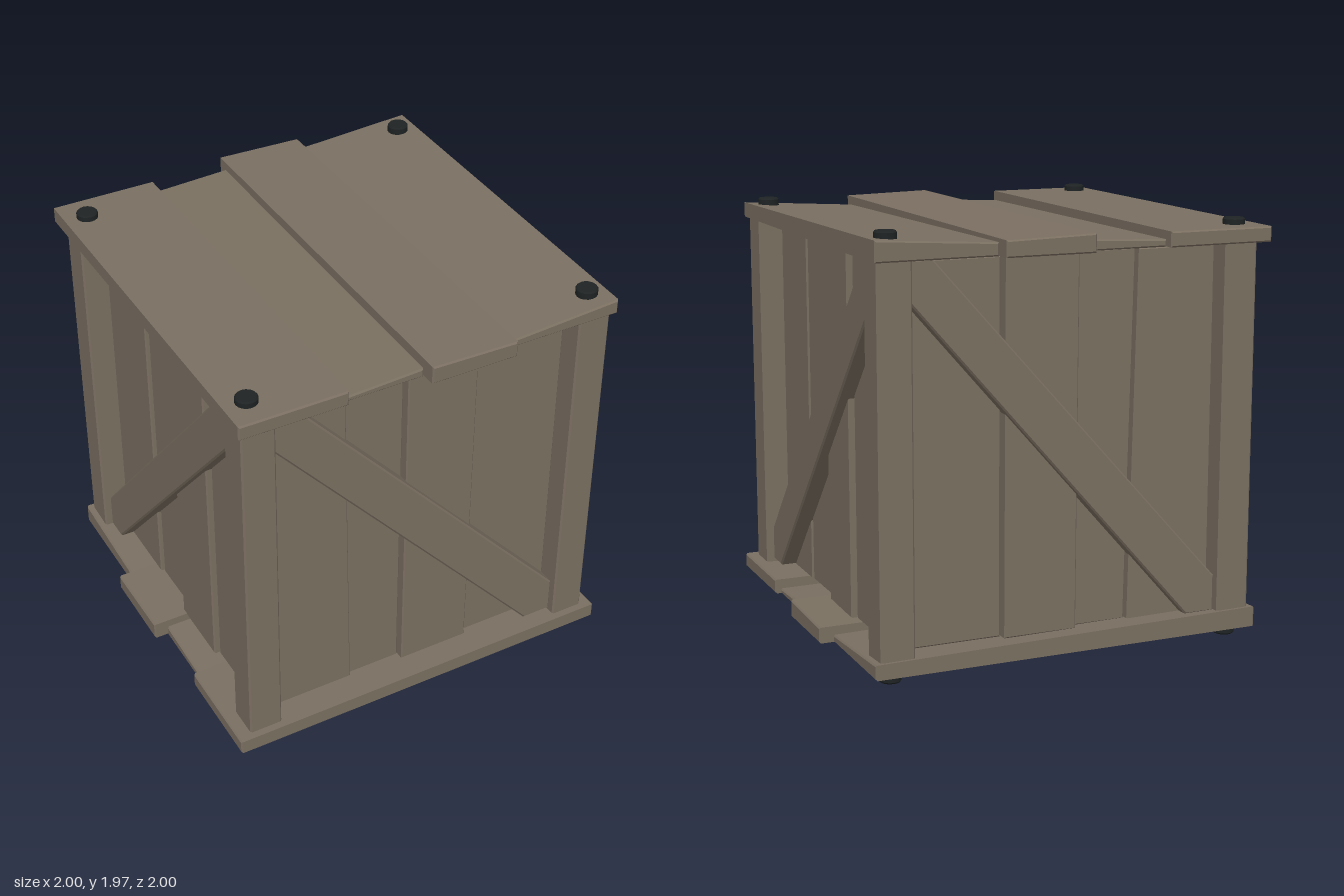
import * as THREE from 'three';
import { toCreasedNormals } from 'three/addons/utils/BufferGeometryUtils.js';

const wood = new THREE.MeshStandardMaterial({ color: 0x7a6f61 });
wood.name = 'weathered wood';
const iron = new THREE.MeshStandardMaterial({ color: 0x1f2324 });
iron.name = 'dark iron';

// Outline in x/y extruded from z0 to z1, with slightly worn edges
function boardGeometry(points, z0, z1, bevel = 0.008) {
  const shape = new THREE.Shape(points.map(([x, y]) => new THREE.Vector2(x, y)));
  return new THREE.ExtrudeGeometry(shape, {
    depth: z1 - z0 - 2 * bevel, bevelEnabled: true, bevelSegments: 1,
    bevelSize: bevel, bevelThickness: bevel, bevelOffset: -bevel,
  }).translate(0, 0, z0 + bevel);
}

function addMesh(parent, name, geometry, material = wood) {
  const mesh = new THREE.Mesh(geometry, material);
  mesh.name = name;
  parent.add(mesh);
  return mesh;
}

// Four uneven planks lying side by side along z
function makePanel(name) {
  const panel = new THREE.Group();
  panel.name = name;
  // left x, right x, back z, front z, left height, right height, rise to the back
  const planks = [
    [-0.94, -0.435, -0.97, 0.96, 0.07, 0.07, 0],
    [-0.43, -0.065, -0.935, 0.935, 0.025, 0.042, 0.008],
    [-0.06, 0.36, -1, 1, 0.085, 0.075, 0],
    [0.365, 0.922, -0.935, 0.935, 0.035, 0.07, 0.025],
  ];
  for (const [x0, x1, z0, z1, h0, h1, rise] of planks) {
    const g = boardGeometry([[x0, 0], [x1, 0], [x1, h1], [x0, h0]], z0, z1, 0.007);
    const p = g.attributes.position;
    for (let i = 0; i < p.count; i++) {
      if (p.getY(i) > 0.015) p.setY(i, p.getY(i) + rise * (z1 - p.getZ(i)) / (z1 - z0));
    }
    g.computeVertexNormals();
    addMesh(panel, name + 'Plank', g);
  }
  return panel;
}

// Pair of facing walls; each plank gives its corners and its depth on both walls
function makeWalls(name, planks, brace) {
  const walls = new THREE.Group();
  walls.name = name;
  for (const [bl, br, tr, tl, near, far] of planks) {
    const outline = [[bl, 0.12], [br, 0.12], [tr, 1.83], [tl, 1.83]];
    addMesh(walls, 'wallPlank', boardGeometry(outline, 0.74, near, 0.006));
    addMesh(walls, 'wallPlank', boardGeometry(outline, -far, -0.74, 0.006));
  }
  for (const turn of [0, Math.PI]) {
    addMesh(walls, 'diagonalBrace', boardGeometry(brace, 0.77, 0.87)).rotation.y = turn;
  }
  return walls;
}

export function createModel() {
  const crate = new THREE.Group();
  crate.name = 'crate';

  // Lid, and a base of the same planks turned a quarter
  const lid = makePanel('lid');
  lid.position.y = 1.847;
  const base = makePanel('base');
  base.position.y = 0.047;
  base.rotation.y = Math.PI / 2;
  crate.add(lid, base);

  // Walls
  const frontBrace = [[-0.745, 1.66], [0.6, 0.13], [0.745, 0.13], [0.745, 0.3], [-0.64, 1.845], [-0.745, 1.845]];
  const sideBrace = [[-0.745, 0.13], [-0.63, 0.13], [0.745, 1.66], [0.745, 1.845], [0.645, 1.845], [-0.745, 0.3]];
  crate.add(makeWalls('frontAndBackWalls', [
    [-0.745, -0.33, -0.365, -0.745, 0.805, 0.805],
    [-0.325, -0.065, -0.07, -0.36, 0.785, 0.78],
    [-0.06, 0.29, 0.285, -0.065, 0.82, 0.825],
    [0.297, 0.745, 0.745, 0.295, 0.79, 0.79],
  ], frontBrace));
  const sides = makeWalls('sideWalls', [
    [-0.745, -0.37, -0.37, -0.745, 0.79, 0.8],
    [-0.364, -0.02, -0.02, -0.364, 0.785, 0.825],
    [-0.012, 0.288, 0.288, -0.012, 0.82, 0.785],
    [0.295, 0.705, 0.705, 0.295, 0.795, 0.8],
  ], sideBrace);
  sides.rotation.y = Math.PI / 2;
  crate.add(sides);

  // Corner posts
  for (const x of [-0.825, 0.825]) {
    for (const z of [-0.825, 0.825]) {
      const outline = [[x - 0.08, 0.08], [x + 0.08, 0.08], [x + 0.08, 1.855], [x - 0.08, 1.855]];
      addMesh(crate, 'cornerPost', boardGeometry(outline, z - 0.08, z + 0.08));
    }
  }

  // Bolt heads above and below each post
  const profile = [[0, 0], [0.042, 0], [0.05, 0.014], [0.05, 0.045], [0.044, 0.052], [0, 0.052]];
  const bolt = toCreasedNormals(
    new THREE.LatheGeometry(profile.map(([r, y]) => new THREE.Vector2(r, y)), 16), 0.5);
  for (const x of [-0.832, 0.832]) {
    for (const z of [-0.818, 0.818]) {
      const topY = x > 0 && z < 0 ? 1.968 : 1.947;
      addMesh(crate, 'topBolt', bolt, iron).position.set(x, topY - 0.052, z);
      const under = addMesh(crate, 'bottomBolt', bolt, iron);
      under.position.set(x, 0.052, z);
      under.rotation.x = Math.PI;
    }
  }
  return crate;
}
